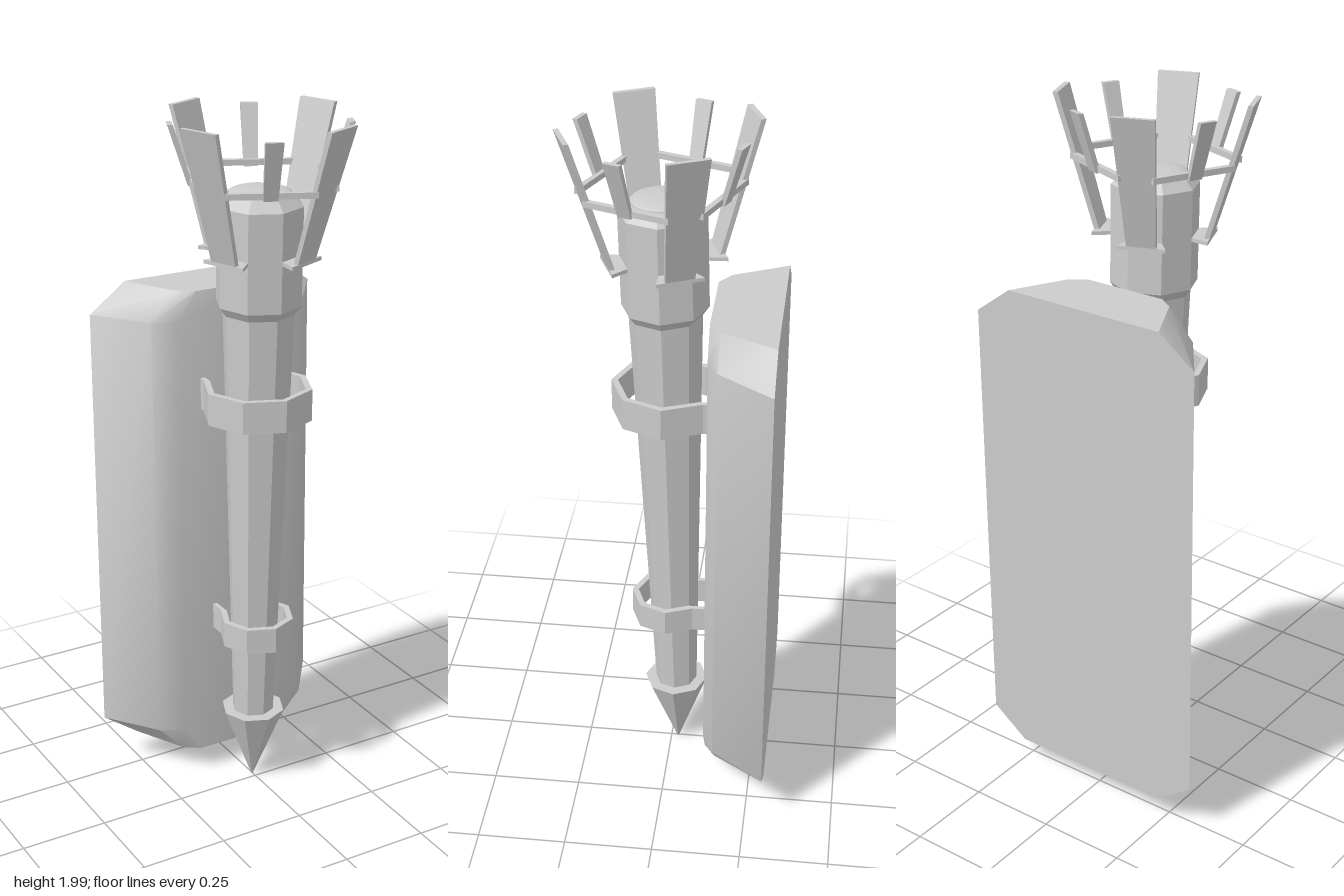
import * as THREE from 'three';
import { toCreasedNormals } from 'three/addons/utils/BufferGeometryUtils.js';

const smooth = new THREE.MeshStandardMaterial({ color: 0xcccccc });
const flat = new THREE.MeshStandardMaterial({ color: 0xcccccc, flatShading: true });

function add(parent, name, geometry, material = flat) {
  const mesh = new THREE.Mesh(geometry, material);
  mesh.name = name;
  parent.add(mesh);
  return mesh;
}

// Octagonal cylinder between two heights
function octagon(rBottom, rTop, y0, y1, open = false) {
  return new THREE.CylinderGeometry(rTop, rBottom, y1 - y0, 8, 1, open).translate(0, (y0 + y1) / 2, 0);
}

// Wall plate: bevelled section lofted up through four rows, narrowed at both ends
function wallPlate() {
  const rows = [[0.08, 0.69], [0.16, 1], [1.42, 1], [1.5, 0.69]];
  const half = [[0.35, -0.297], [0.24, -0.145], [0.175, -0.113]];
  const section = [...half, ...half.map(([x, z]) => [-x, z]).reverse()];
  const n = section.length;
  const pos = [], idx = [];
  for (const [y, s] of rows) for (const [x, z] of section) pos.push(x * s, y, z);
  for (let r = 0; r < rows.length - 1; r++) {
    for (let i = 0; i < n; i++) {
      const a = r * n + i, b = r * n + (i + 1) % n;
      idx.push(b, a, a + n, b, a + n, b + n);
    }
  }
  const top = (rows.length - 1) * n;
  for (let i = 1; i < n - 1; i++) {
    idx.push(0, i, i + 1);
    idx.push(top, top + i + 1, top + i);
  }
  const geo = new THREE.BufferGeometry();
  geo.setAttribute('position', new THREE.Float32BufferAttribute(pos, 3));
  geo.setIndex(idx);
  return toCreasedNormals(geo, 0.65);
}

// U-shaped octagonal strap whose ends run back into the wall plate
function bracket(r, zc, y0, y1) {
  const side = (radius) => {
    const pts = [];
    for (let i = -3; i <= 3; i++) {
      const a = i * Math.PI / 4;
      pts.push(new THREE.Vector2(Math.sin(a) * radius, -(zc + Math.cos(a) * radius)));
    }
    const end = 0.125;
    pts.unshift(new THREE.Vector2(pts[0].x, end));
    pts.push(new THREE.Vector2(pts[pts.length - 1].x, end));
    return pts;
  };
  const shape = new THREE.Shape([...side(r), ...side(r - 0.018).reverse()]);
  return new THREE.ExtrudeGeometry(shape, { depth: y1 - y0, bevelEnabled: false })
    .rotateX(-Math.PI / 2).translate(0, y0, 0);
}

// Flared blade leaning outward along +z from (r0, y0) to (r1, y1)
function blade(w0, w1, r0, r1, y0, y1, t) {
  const geo = new THREE.BoxGeometry(1, 1, t);
  const p = geo.attributes.position;
  for (let i = 0; i < p.count; i++) {
    const k = p.getY(i) + 0.5;
    p.setXYZ(i, p.getX(i) * (w0 + (w1 - w0) * k), y0 + (y1 - y0) * k, p.getZ(i) + r0 + (r1 - r0) * k);
  }
  return geo;
}

// Flat shelf: one eighth of a wider octagon, centred on +z
function shelf() {
  const s = Math.sin(Math.PI / 8), c = Math.cos(Math.PI / 8);
  const shape = new THREE.Shape([[-0.1, 0.1], [0.1, 0.1], [0.168, 0.168], [-0.168, 0.168]]
    .map(([x, z]) => new THREE.Vector2(x * s, -z * c)));
  return new THREE.ExtrudeGeometry(shape, { depth: 0.01, bevelEnabled: false })
    .rotateX(-Math.PI / 2).translate(0, 1.617, 0);
}

export function createModel() {
  const model = new THREE.Group();
  model.name = 'wallTorch';

  add(model, 'wallPlate', wallPlate(), smooth);
  add(model, 'upperBracket', bracket(0.153, 0.012, 1.16, 1.25));
  add(model, 'lowerBracket', bracket(0.107, 0.008, 0.475, 0.55));

  // Torch leans slightly forward
  const torch = new THREE.Group();
  torch.name = 'torch';
  torch.position.z = -0.02;
  torch.rotation.x = 0.025;
  model.add(torch);

  add(torch, 'spike', octagon(0.003, 0.092, 0.008, 0.24));
  add(torch, 'shaft', octagon(0.06, 0.1, 0.23, 1.47));
  add(torch, 'headBase', octagon(0.1, 0.118, 1.46, 1.485));
  add(torch, 'head', octagon(0.118, 0.118, 1.485, 1.755, true));
  add(torch, 'headBevel', octagon(0.118, 0.09, 1.755, 1.785));
  const dome = new THREE.SphereGeometry(0.085, 16, 6, 0, Math.PI * 2, 0, Math.PI / 2)
    .scale(1, 0.18, 1).translate(0, 1.785, 0);
  add(torch, 'headDome', dome, smooth);

  // Crown of four large blades joined by bars carrying small blades
  const crown = new THREE.Group();
  crown.name = 'crown';
  torch.add(crown);
  const parts = [
    ['shelf', shelf(), 0],
    ['largeBlade', blade(0.078, 0.112, 0.146, 0.254, 1.62, 1.988, 0.014), 0],
    ['crownBar', new THREE.BoxGeometry(0.245, 0.016, 0.016).translate(0, 1.822, 0.178), 1],
    ['smallBlade', blade(0.038, 0.047, 0.183, 0.236, 1.81, 1.97, 0.014), 1],
  ];
  for (let i = 0; i < 4; i++) {
    for (const [name, geometry, offset] of parts) {
      add(crown, name, geometry).rotation.y = Math.PI / 8 + i * Math.PI / 2 + offset * Math.PI / 4;
    }
  }
  return model;
}
